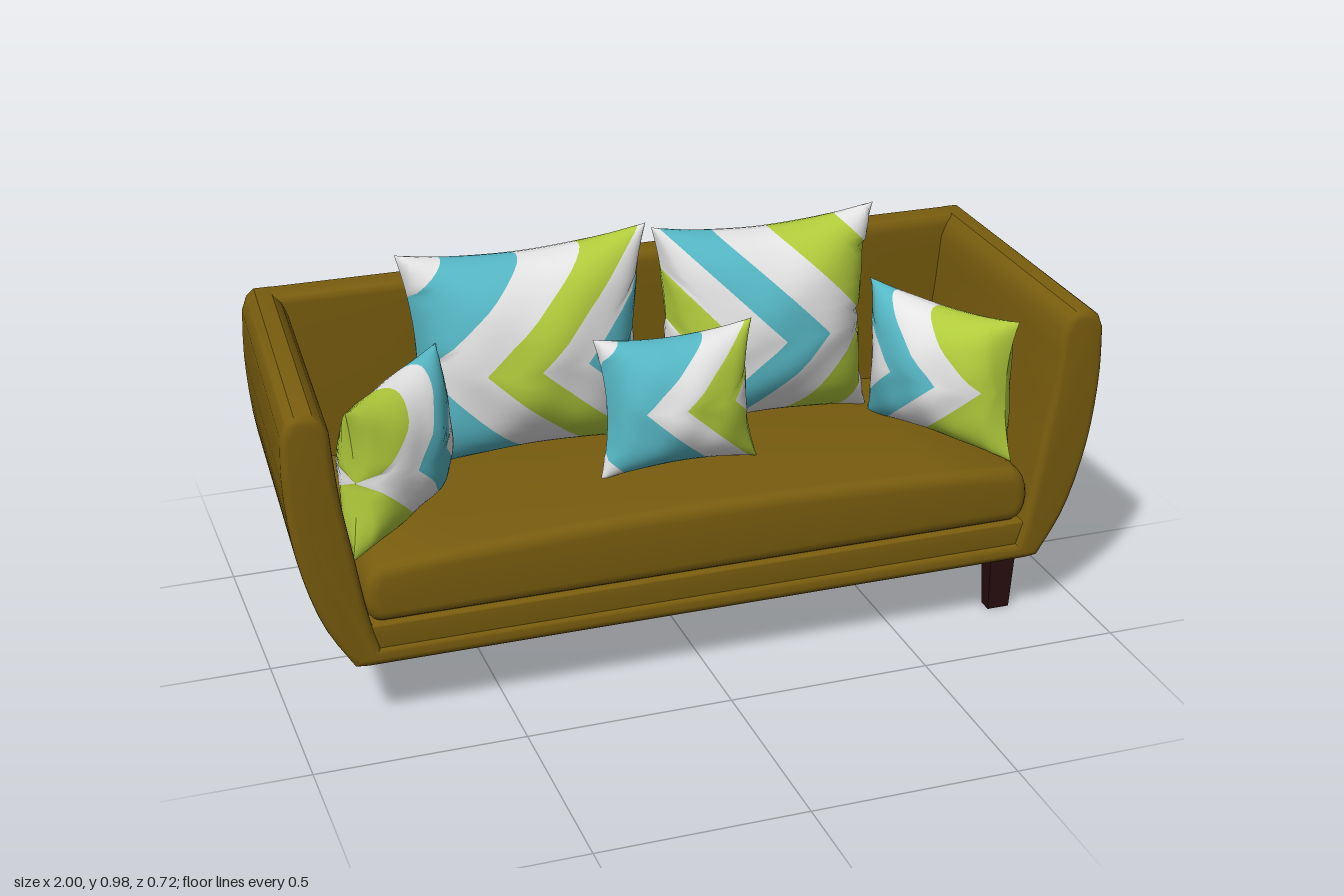
import * as THREE from 'three';
import { toCreasedNormals } from 'three/addons/utils/BufferGeometryUtils.js';

const mat = (name, color) => {
  const m = new THREE.MeshStandardMaterial({ color });
  m.name = name;
  return m;
};

// Closed outline, symmetric in x, from its right half (bottom centre to top centre)
function mirroredShape(half) {
  const left = half.map(([x, y]) => new THREE.Vector2(-x, y)).reverse();
  return new THREE.Shape([...half.map(p => new THREE.Vector2(...p)), ...left]);
}

// Bevelled slab between two z positions
function slab(shape, z0, z1, bevel) {
  const g = new THREE.ExtrudeGeometry(shape, {
    depth: z1 - z0 - 2 * bevel, bevelThickness: bevel, bevelSize: bevel,
    bevelOffset: -bevel, bevelSegments: 4, curveSegments: 8,
  });
  return g.translate(0, 0, z0 + bevel);
}

// Toward the back the sofa narrows, rises and leans in slightly
function taper(g) {
  const p = g.attributes.position;
  for (let i = 0; i < p.count; i++) {
    const x = p.getX(i), y = p.getY(i), z = p.getZ(i);
    const t = (0.36 - z) / 0.72, h = Math.max(0, (y - 0.165) / 0.645);
    p.setXYZ(i, x * (1 - 0.045 * t), y + 0.045 * t * h, z + 0.018 * t * h);
  }
  return toCreasedNormals(g, 0.6);
}

// Smooth points through a few profile points
const smooth = (pts, n) => new THREE.SplineCurve(pts.map(p => new THREE.Vector2(...p)))
  .getPoints(n).map(p => [p.x, p.y]);

// Square cushion, pinched along its sides, split into chevron bands.
// Each band is [start, material index] measured along u at v = 0.
function pillowGeometry(a, b, thick, bands, flip) {
  const rows = 24, n = 7, cols = bands.length * n, pos = [], lists = [[], [], []];
  const starts = bands.map(q => q[0]).concat(3);
  for (const side of [1, -1]) {
    const base = pos.length / 3;
    for (let j = 0; j <= rows; j++) {
      const v = Math.sin((j / rows - 0.5) * Math.PI);
      const edge = k => THREE.MathUtils.clamp(starts[k] + 0.95 * Math.abs(v), -1, 1);
      for (let i = 0; i <= cols; i++) {
        const k = Math.min(Math.floor(i / n), bands.length - 1);
        const u = THREE.MathUtils.lerp(edge(k), edge(k + 1), i / n - k);
        const bulge = Math.pow(Math.max(0, (1 - u * u) * (1 - v * v)), 0.5);
        const wrinkle = 1 + 0.05 * Math.sin(7 * u + 2 * v) * Math.sin(6 * v - u);
        pos.push(flip * a * u * (1 - 0.13 * (1 - v * v)),
          b * v * (1 - 0.13 * (1 - u * u)), side * thick * bulge * wrinkle);
      }
    }
    for (let j = 0; j < rows; j++) for (let i = 0; i < cols; i++) {
      const p = base + j * (cols + 1) + i, q = p + cols + 1;
      const quad = side * flip > 0 ? [p, p + 1, q + 1, p, q + 1, q] : [p, q + 1, p + 1, p, q, q + 1];
      lists[bands[Math.floor(i / n)][1]].push(...quad);
    }
  }
  const g = new THREE.BufferGeometry();
  g.setAttribute('position', new THREE.Float32BufferAttribute(pos, 3));
  g.setIndex(lists.flat());
  let start = 0;
  lists.forEach((l, m) => { g.addGroup(start, l.length, m); start += l.length; });
  g.computeVertexNormals();
  return g;
}

export function createModel() {
  const model = new THREE.Group();
  model.name = 'sofa';
  const olive = mat('oliveUpholstery', 0x785c0e);
  const wood = mat('darkWood', 0x2a0e10);
  const fabrics = [mat('whiteFabric', 0xe4e4e4), mat('tealFabric', 0x56b8c6), mat('limeFabric', 0xb2cc3c)];

  const add = (name, geometry, material, parent = model) => {
    const m = new THREE.Mesh(geometry, material);
    m.name = name;
    parent.add(m);
    return m;
  };

  // Curved shell: both arms and the underside in one band
  const outer = smooth([[0.86, 0.168], [0.93, 0.29], [0.98, 0.46], [1.0, 0.63], [0.998, 0.76]], 14);
  const armTop = [[0.985, 0.793], [0.965, 0.808], [0.925, 0.808], [0.905, 0.793]];
  const inner = smooth([[0.89, 0.76], [0.875, 0.6], [0.85, 0.45], [0.825, 0.3], [0.80, 0.21]], 10);
  const shell = mirroredShape([[0.83, 0.165], ...outer, ...armTop, ...inner]);
  add('armsAndUnderside', taper(slab(shell, -0.36, 0.36, 0.018)), olive);

  // Backrest fills the outline behind the seat
  const back = mirroredShape([[0.83, 0.165], ...outer, ...armTop.slice(0, 2)]);
  add('backrest', taper(slab(back, -0.36, -0.28, 0.02)), olive);

  // Recessed front rail and seat deck
  const rail = mirroredShape([[0.805, 0.2], [0.83, 0.268]]);
  add('seatRail', taper(slab(rail, -0.3, 0.35, 0.008)), olive);

  // Seat cushion with a crowned top and rounded ends
  const cushion = new THREE.Shape();
  cushion.moveTo(-0.79, 0.266);
  cushion.lineTo(0.79, 0.266);
  cushion.bezierCurveTo(0.845, 0.27, 0.845, 0.39, 0.79, 0.412);
  cushion.quadraticCurveTo(0, 0.472, -0.79, 0.412);
  cushion.bezierCurveTo(-0.845, 0.39, -0.845, 0.27, -0.79, 0.266);
  add('seatCushion', toCreasedNormals(slab(cushion, -0.29, 0.35, 0.03), 0.6), olive);

  // Legs, drawn in side profile as [z, y]
  const leg = (name, profile) => {
    const s = new THREE.Shape(profile.map(([z, y]) => new THREE.Vector2(-z, y)));
    const g = new THREE.ExtrudeGeometry(s, { depth: 0.066, bevelEnabled: false });
    g.translate(0, 0, -0.033).rotateY(Math.PI / 2);
    const p = g.attributes.position;
    for (let i = 0; i < p.count; i++) p.setX(i, p.getX(i) * (0.85 + p.getY(i)) + 0.795);
    add(name, toCreasedNormals(g, 0.5), wood);
  };
  leg('frontLeg', [[0.29, 0], [0.254, 0], [0.245, 0.175], [0.302, 0.175]]);
  leg('backLeg', [[-0.268, 0], [-0.3, 0], [-0.295, 0.175], [-0.218, 0.175],
    [-0.224, 0.13], [-0.236, 0.085], [-0.25, 0.042]]);

  // Throw pillows: colours run W, outer, W, middle, W, inner, W
  const [W, T, L] = [0, 1, 2];
  const chevron = (o, m, i) => [[-3, W], [-1.6, o], [-1.0, W], [-0.5, m], [-0.02, W], [0.42, i], [0.9, W]];
  const pillows = [
    ['backPillowRight', 0.31, 0.28, 0.165, chevron(T, L, T), 1, [-0.31, 0.7, -0.115], [0, 0, 0.015]],
    ['backPillowLeft', 0.29, 0.275, 0.165, chevron(L, T, L), -1, [0.3, 0.695, -0.115], [0, 0, 0]],
    ['centrePillow', 0.2, 0.175, 0.11, [[-3, W], [-1.65, T], [-0.6, W], [-0.05, L], [0.7, W]], 1,
      [0, 0.61, 0.1], [-0.12, 0, 0.01]],
    ['armPillowRight', 0.22, 0.185, 0.11, [[-3, L], [-1.0, W], [-0.4, T], [0.3, W]], 1,
      [-0.695, 0.59, 0.125], [0, 0.85, 0]],
    ['armPillowLeft', 0.225, 0.185, 0.11, [[-3, L], [-0.85, W], [-0.3, T], [0.4, W]], -1,
      [0.695, 0.59, 0.095], [0, -1.06, 0]],
  ];
  for (const [name, a, b, t, bands, flip, at, turn] of pillows) {
    const m = add(name, pillowGeometry(a, b, t, bands, flip), fabrics);
    m.position.set(...at);
    m.rotation.set(...turn);
  }
  return model;
}
